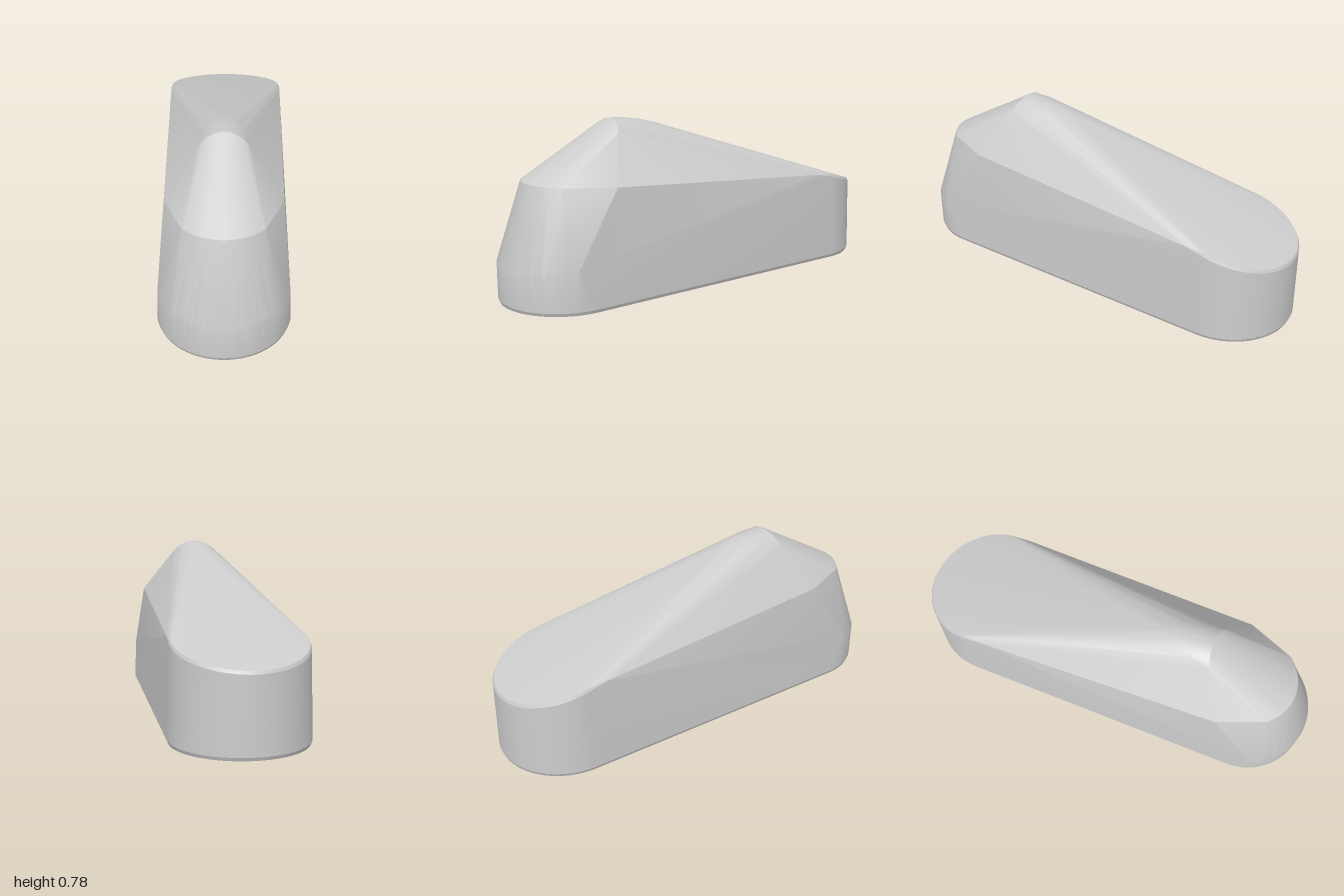
import * as THREE from 'three';
import { ConvexGeometry } from 'three/addons/geometries/ConvexGeometry.js';
import { toCreasedNormals } from 'three/addons/utils/BufferGeometryUtils.js';

export function createModel() {
  const group = new THREE.Group();
  const points = [];
  const add = (x, y, z) => points.push(new THREE.Vector3(x, y, z));
  const addPair = (x, y, z) => { add(x, y, z); add(-x, y, z); };
  const STEPS = 32;
  const frontR = 0.295, frontZ = 0.705, rearR = 0.305, rearZ = -0.69;

  for (let i = 0; i <= STEPS; i++) {
    const a = -Math.PI / 2 + (Math.PI * i) / STEPS;
    const s = Math.sin(a), c = Math.cos(a);

    // Rounded-end base with a tiny bevel at the foot
    for (const [y, inset] of [[0, 0.006], [0.015, 0]]) {
      add((frontR - inset) * s, y, frontZ + (frontR - inset) * c);
      add((rearR - inset) * s, y, rearZ - (rearR - inset) * c);
    }

    // Upright front wall up to the lower crease, which rises to the sides
    if (Math.abs(s) < 0.97) add(frontR * s, 0.165 + 0.037 * s * s, frontZ + frontR * c);

    // Rear wall and sloping roof rim, softened by a narrow inner ring
    const rimZ = rearZ - 0.297 * c;
    const rimY = 0.352 + 0.27 * (rimZ + 0.987);
    add(0.296 * s, rimY - 0.012, rimZ - 0.003 * c);
    add(0.29 * s, rimY + 0.002, rimZ + 0.003 * c);
  }
  addPair(0.305, 0.1, -0.6);
  addPair(0.293, 0.44, -0.6);

  // Front crease between the nose and the sloped front panel
  const nose = new THREE.CatmullRomCurve3([
    new THREE.Vector3(-0.17, 0.529, 0.8), new THREE.Vector3(-0.1, 0.531, 0.855),
    new THREE.Vector3(0, 0.532, 0.88),
    new THREE.Vector3(0.1, 0.531, 0.855), new THREE.Vector3(0.17, 0.529, 0.8),
  ]);
  nose.getPoints(24).forEach((p) => add(p.x, p.y, p.z));

  // Shoulder corners
  addPair(0.257, 0.52, 0.58);

  // Rounded ridge: arches that fall away behind the peak
  const archR = 0.134;
  for (const [z, top, spread] of [[0.45, 0.782, 55], [0.38, 0.779, 40], [0.29, 0.765, 35], [0.2, 0.741, 30]]) {
    for (let i = 0; i <= 20; i++) {
      const a = THREE.MathUtils.degToRad(spread * (i / 10 - 1));
      const drop = archR * (1 - Math.cos(a));
      add(archR * Math.sin(a), top - drop, z + (z === 0.45 ? 0.5 * drop : 0));
    }
  }

  // Single convex shell with soft curves and sharp creases
  const shell = new THREE.Mesh(
    toCreasedNormals(new ConvexGeometry(points), 0.33),
    new THREE.MeshStandardMaterial({ color: 0xcccccc })
  );
  shell.name = 'bodyShell';
  group.add(shell);
  return group;
}
